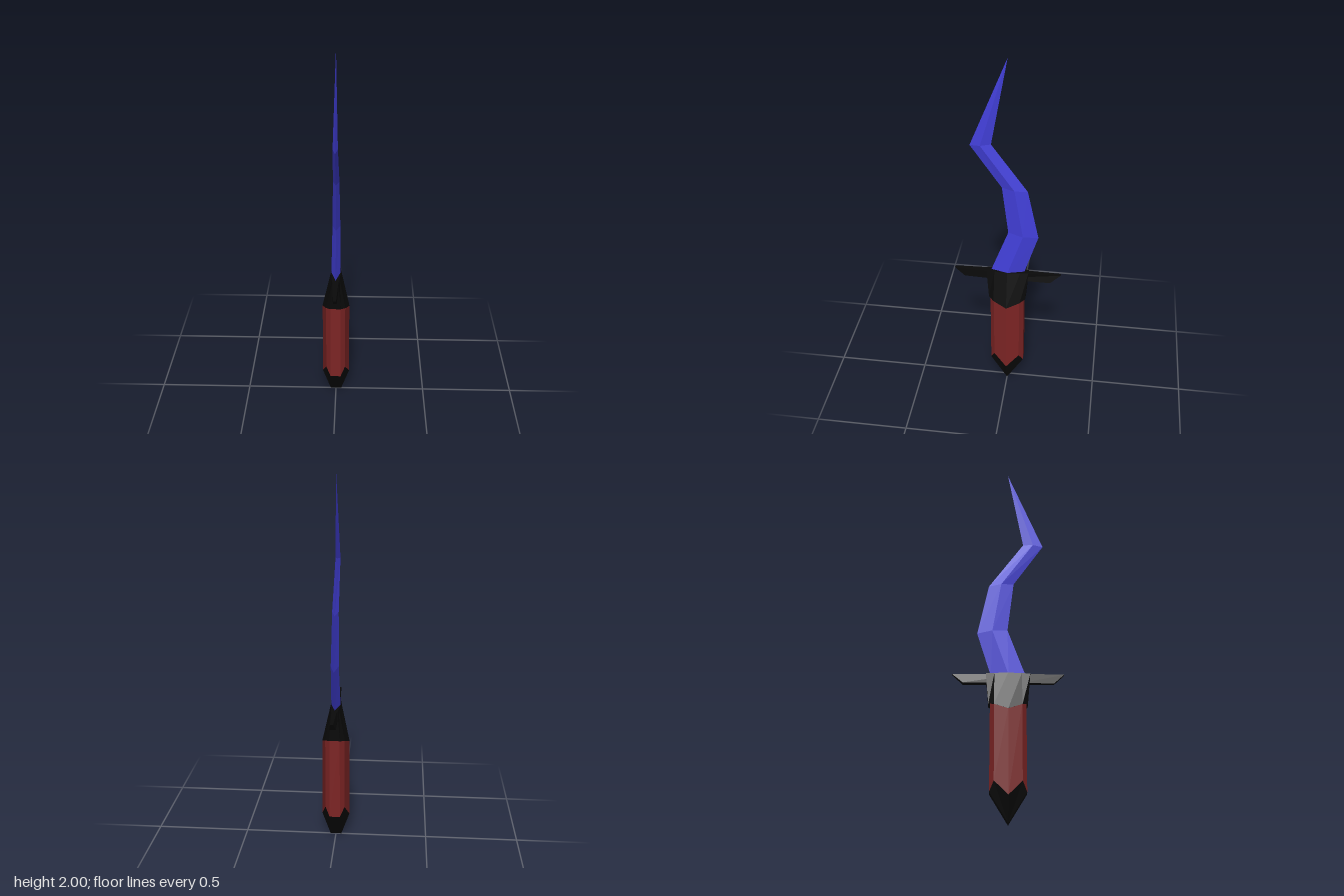
import * as THREE from 'three';

const flat = (name, color) => {
  const m = new THREE.MeshStandardMaterial({ color, flatShading: true });
  m.name = name;
  return m;
};

// Skin a stack of rings, bottom to top; each ring runs +x, -z, -x, +z
function loft(name, material, rings, capBottom = false, capTop = false) {
  const n = rings[0].length;
  const index = [];
  for (let r = 0; r < rings.length - 1; r++) {
    for (let i = 0; i < n; i++) {
      const a = r * n + i, b = r * n + (i + 1) % n;
      index.push(a, b, b + n, a, b + n, a + n);
    }
  }
  const top = (rings.length - 1) * n;
  for (let i = 1; i < n - 1; i++) {
    if (capBottom) index.push(0, i + 1, i);
    if (capTop) index.push(top, top + i, top + i + 1);
  }
  const indexed = new THREE.BufferGeometry();
  indexed.setAttribute('position', new THREE.Float32BufferAttribute(rings.flat(2), 3));
  indexed.setIndex(index);
  const geometry = indexed.toNonIndexed();
  geometry.computeVertexNormals();
  const mesh = new THREE.Mesh(geometry, material);
  mesh.name = name;
  return mesh;
}

// Ten-sided ring mirrored from three [x, y, z] corners: side, shoulder, front
function ring10([side, shoulder, front]) {
  const at = ([x, y, z], sx, sz) => [x * sx, y, z * sz];
  return [
    at(side, 1, 1), at(shoulder, 1, -1), at(front, 1, -1), at(front, -1, -1), at(shoulder, -1, -1),
    at(side, -1, 1), at(shoulder, -1, 1), at(front, -1, 1), at(front, 1, 1), at(shoulder, 1, 1),
  ];
}

export function createModel() {
  const group = new THREE.Group();
  group.name = 'wavyDagger';
  const blue = flat('bladeBlue', 0x423fd9);
  const red = flat('gripRed', 0x7c2424);
  const black = flat('fittingBlack', 0x0a0a0a);

  // Pommel: zigzag rim closing to a short ridge along x
  const ridge = ring10([[0.03, 0, 0], [0.03, 0, 0], [0.03, 0, 0]]);
  const gripBottom = ring10([[0.075, 0.125, 0], [0.052, 0.2, 0.07], [0.028, 0.15, 0.092]]);
  group.add(loft('pommel', black, [ridge, gripBottom]));

  // Grip
  const gripTop = ring10([[0.073, 0.56, 0], [0.052, 0.59, 0.07], [0.027, 0.6, 0.092]]);
  group.add(loft('grip', red, [gripBottom, gripTop]));

  // Collar tapering from the grip to the blade
  const collarBottom = ring10([[0.074, 0.56, 0], [0.054, 0.59, 0.072], [0.029, 0.6, 0.1]]);
  const collarTop = ring10([[0.027, 0.77, 0], [0.021, 0.77, 0.07], [0.016, 0.77, 0.114]]);
  group.add(loft('collar', black, [gripTop, collarBottom, collarTop], false, true));

  // Crossguard: long bar with slanted, narrowed ends
  const bar = (y, backX, backZ, frontX, frontZ) => [
    [0.017, y, 0.08], [backX, y, -backZ], [-backX, y, -backZ],
    [-0.017, y, 0.08], [-frontX, y, frontZ], [frontX, y, frontZ],
  ];
  group.add(loft('crossguard', black,
    [bar(0.718, 0.017, 0.232, 0.01, 0.235), bar(0.768, 0.008, 0.288, 0.008, 0.288)], true, true));

  // Blade stations: half thickness, front edge [y, z], back edge [y, z]
  const stations = [
    [0.025, [0.76, 0.092], [0.76, -0.088]],
    [0.021, [1.02, -0.003], [1.0, -0.162]],
    [0.017, [1.295, 0.03], [1.28, -0.103]],
    [0.013, [1.53, 0.19], [1.54, 0.083]],
    [0, [2, 0], [2, 0]],
  ];
  const bladeRings = stations.map(([w, [fy, fz], [by, bz]]) => {
    const y = (fy + by) / 2, z = (fz + bz) / 2;
    return [[w, y, z], [0, by, bz], [-w, y, z], [0, fy, fz]];
  });
  group.add(loft('blade', blue, bladeRings, true));

  return group;
}
